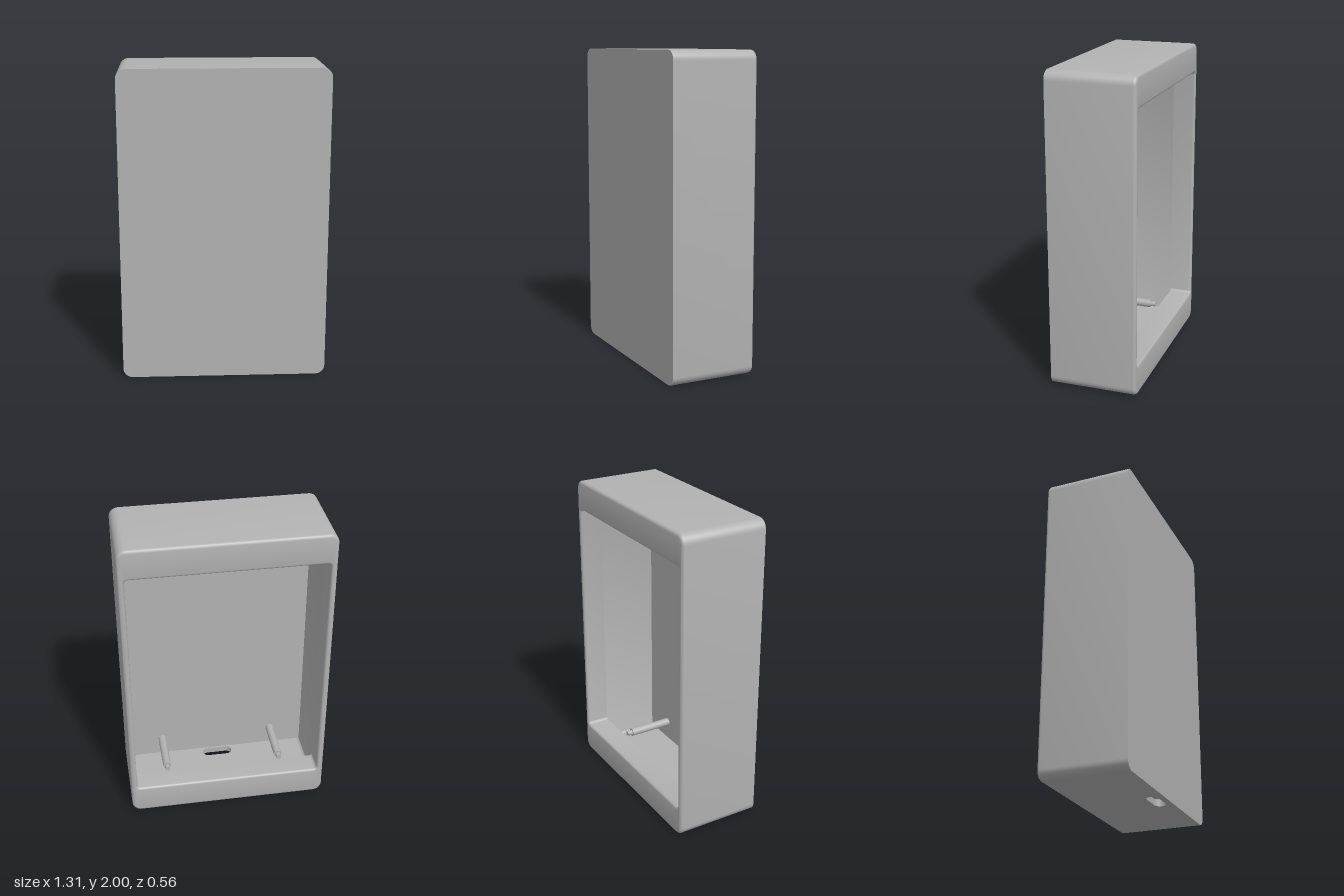
import * as THREE from 'three';
import { toCreasedNormals } from 'three/addons/utils/BufferGeometryUtils.js';

const HW = 0.655, H = 2, ZF = 0.28, ZB = -0.28; // outer size
const IN = 0.615, WALL = 0.04, LIP = 0.195;     // inner half width, wall, lip height
const PANEL = 0.25, LIP_Z = -0.13;              // inner faces of front panel and lips
const STEPS = 8;

// Rounded rectangle, counter-clockwise, starting at the right end of its bottom edge
function ring(hw, y0, r, z) {
  const pts = [];
  for (let k = 0; k < 4; k++) {
    const cx = (k < 2 ? 1 : -1) * (hw - r);
    const cy = k === 0 || k === 3 ? y0 + r : H - y0 - r;
    for (let i = 0; i <= STEPS; i++) {
      const a = (k - 1 + i / STEPS) * Math.PI / 2;
      pts.push([cx + r * Math.cos(a), cy + r * Math.sin(a), z]);
    }
  }
  return pts;
}

// Skin running from the front face, around the back rim and into the cavity
function housingGeometry() {
  const R = 0.02, W = 0.015, N = 4;
  const rings = [ring(HW, 0, 0.06, ZF)];
  for (let i = 0; i <= N; i++) { // outer back fillet
    const a = i / N * Math.PI / 2, d = R * (1 - Math.cos(a));
    rings.push(ring(HW - d, d, 0.06 - d, ZB + R - R * Math.sin(a)));
  }
  for (let i = 0; i <= N; i++) { // fillet of the window edge
    const a = i / N * Math.PI / 2, d = W * (1 - Math.sin(a));
    rings.push(ring(IN + d, LIP - d, 0.02 + d, ZB + W * (1 - Math.cos(a))));
  }
  rings.push(ring(IN, LIP, 0.02, LIP_Z));  // inner edge of lips
  rings.push(ring(IN, WALL, 0.02, LIP_Z)); // lips' inner face
  rings.push(ring(IN, WALL, 0.02, PANEL)); // cavity walls

  const pos = [];
  const tri = (a, b, c) => pos.push(...a, ...b, ...c);
  const n = rings[0].length, last = rings.length - 1;
  for (let i = 0; i < last; i++) {
    for (let j = 0; j < n; j++) {
      // the flat bottom is a separate plate with a port
      if (j === n - 1 && (i === 0 || i === last - 1)) continue;
      const k = (j + 1) % n, p = rings[i], q = rings[i + 1];
      tri(p[j], q[j], p[k]);
      tri(p[k], q[j], q[k]);
    }
  }
  for (let j = 0; j < n; j++) { // front face and its inner side
    const k = (j + 1) % n;
    tri([0, H / 2, ZF], rings[0][j], rings[0][k]);
    tri([0, H / 2, PANEL], rings[last][k], rings[last][j]);
  }
  const geo = new THREE.BufferGeometry();
  geo.setAttribute('position', new THREE.Float32BufferAttribute(pos, 3));
  return toCreasedNormals(geo, 0.6);
}

// Bottom wall with a slot-shaped port
function bottomGeometry() {
  const w = HW - 0.06, zc = 0.2, r = 0.038, l = 0.065;
  const s = new THREE.Shape();
  s.moveTo(-w, ZB + 0.02);
  s.lineTo(w, ZB + 0.02);
  s.lineTo(w, ZF);
  s.lineTo(-w, ZF);
  s.closePath();
  const slot = new THREE.Path();
  slot.absarc(l, zc, r, -Math.PI / 2, Math.PI / 2, false);
  slot.absarc(-l, zc, r, Math.PI / 2, Math.PI * 1.5, false);
  slot.closePath();
  s.holes.push(slot);
  const geo = new THREE.ExtrudeGeometry(s, { depth: WALL, bevelEnabled: false, curveSegments: 10 });
  geo.rotateX(Math.PI / 2).translate(0, WALL, 0);
  return toCreasedNormals(geo, 0.6);
}

export function createModel() {
  const group = new THREE.Group();
  const grey = new THREE.MeshStandardMaterial({ color: 0xb2b2b2 });
  grey.name = 'grey plastic';
  const add = (name, geo) => {
    const m = new THREE.Mesh(geo, grey);
    m.name = name;
    group.add(m);
    return m;
  };

  add('housing', housingGeometry());
  add('bottomWall', bottomGeometry());

  // Four standoffs on the front panel, each with a thinner locating pin
  const rod = (r, z0, z1) =>
    new THREE.CylinderGeometry(r, r, z1 - z0, 24).rotateX(Math.PI / 2).translate(0, 0, (z0 + z1) / 2);
  const standoff = rod(0.027, -0.05, PANEL + 0.005);
  const pin = rod(0.017, -0.085, -0.05);
  for (const x of [-0.39, 0.39]) {
    for (const y of [0.17, H - 0.17]) {
      add('standoff', standoff).position.set(x, y, 0);
      add('standoffPin', pin).position.set(x, y, 0);
    }
  }
  return group;
}
